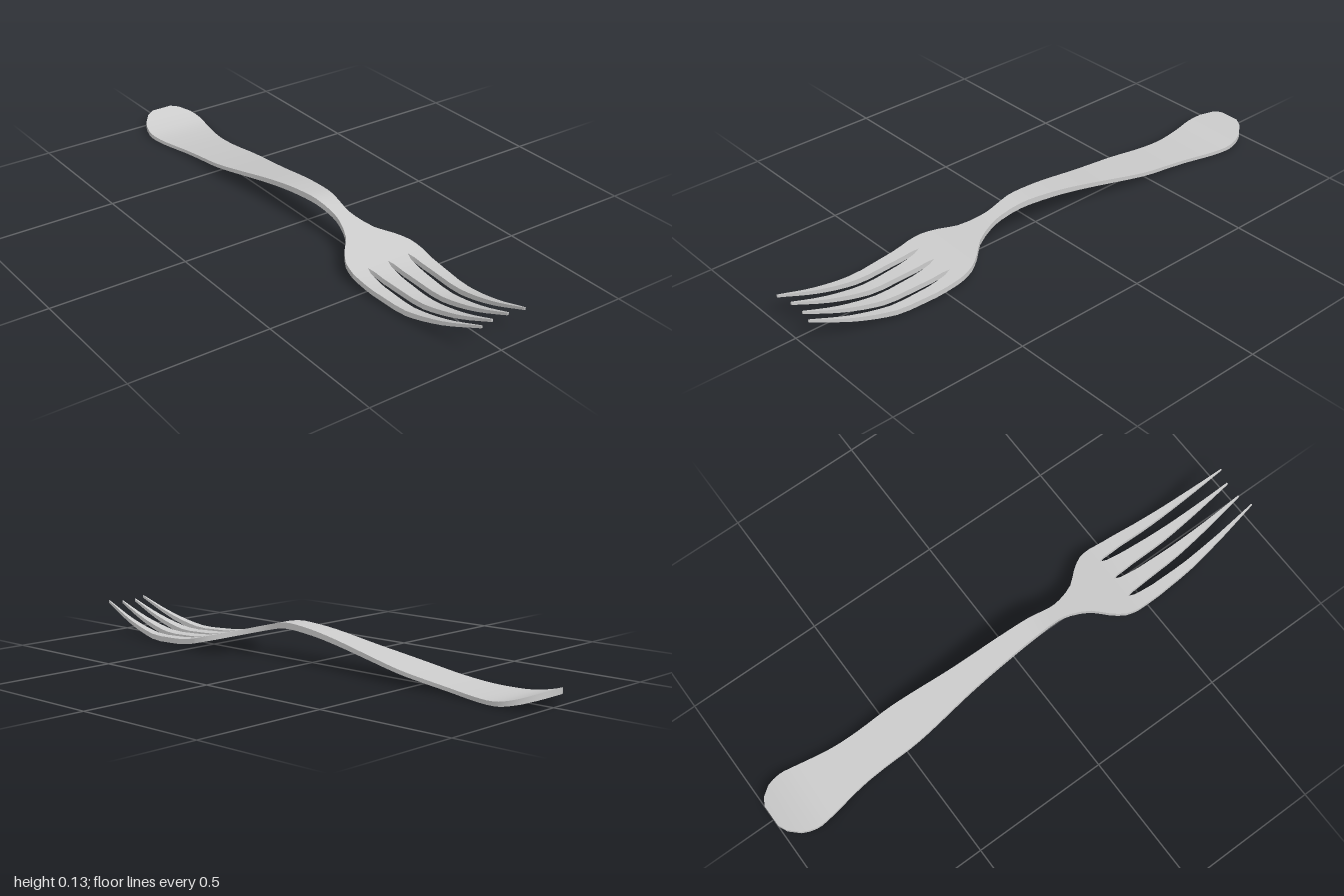
import * as THREE from 'three';
import { toCreasedNormals } from 'three/addons/utils/BufferGeometryUtils.js';

// Profiles along the length: [x, value]
const TOP = [[-1, 0.056], [-0.95, 0.037], [-0.88, 0.019], [-0.82, 0.014], [-0.7, 0.02], [-0.5, 0.045],
  [-0.3, 0.08], [-0.1, 0.117], [0, 0.13], [0.1, 0.134], [0.2, 0.112], [0.3, 0.086], [0.4, 0.06],
  [0.5, 0.038], [0.6, 0.031], [0.7, 0.031], [0.85, 0.065], [1, 0.12]];
const THICK = [[-1, 0.021], [-0.82, 0.014], [-0.4, 0.015], [0.05, 0.022], [0.2, 0.02], [0.5, 0.019], [0.7, 0.019], [1, 0.009]];
const WIDTH = [[-1, 0.04], [-0.985, 0.07], [-0.95, 0.1], [-0.9, 0.115], [-0.86, 0.113], [-0.7, 0.086],
  [-0.6, 0.08], [-0.45, 0.079], [-0.2, 0.053], [0, 0.04], [0.1, 0.034], [0.18, 0.027], [0.23, 0.033],
  [0.3, 0.06], [0.35, 0.103], [0.4, 0.134], [0.45, 0.143]];

// Smooth interpolation through a profile
function at(table, x) {
  let i = 0;
  while (i < table.length - 2 && x > table[i + 1][0]) i++;
  const slope = k => {
    const a = table[Math.max(k - 1, 0)], b = table[Math.min(k + 1, table.length - 1)];
    return (b[1] - a[1]) / (b[0] - a[0]);
  };
  const [x0, v0] = table[i], [x1, v1] = table[i + 1];
  const h = x1 - x0, t = (x - x0) / h, t2 = t * t, t3 = t2 * t;
  return v0 * (2 * t3 - 3 * t2 + 1) + v1 * (3 * t2 - 2 * t3)
    + h * (slope(i) * (t3 - 2 * t2 + t) + slope(i + 1) * (t3 - t2));
}

// Bent bar of rectangular section; each station is [x, zBack, zFront]
function bentBar(stations) {
  const pos = [], idx = [];
  stations.forEach(([x, z0, z1], i) => {
    const top = at(TOP, x), low = top - at(THICK, x);
    pos.push(x, top, z0, x, top, z1, x, low, z1, x, low, z0);
    if (i === 0) return;
    const a = (i - 1) * 4, b = i * 4;
    for (let k = 0; k < 4; k++) {
      const n = (k + 1) % 4;
      idx.push(a + k, a + n, b + k, a + n, b + n, b + k);
    }
  });
  const e = (stations.length - 1) * 4;
  idx.push(0, 3, 2, 0, 2, 1, e, e + 1, e + 2, e, e + 2, e + 3);
  const g = new THREE.BufferGeometry();
  g.setAttribute('position', new THREE.Float32BufferAttribute(pos, 3));
  g.setIndex(idx);
  return toCreasedNormals(g, 0.6);
}

export function createModel() {
  const group = new THREE.Group();
  const material = new THREE.MeshStandardMaterial({ color: 0xcccccc });
  const add = (name, stations) => {
    const mesh = new THREE.Mesh(bentBar(stations), material);
    mesh.name = name;
    group.add(mesh);
  };

  // Handle, neck and shoulder: subdivide between the width stations
  const body = [];
  for (let i = 0; i < WIDTH.length - 1; i++) {
    const x0 = WIDTH[i][0], x1 = WIDTH[i + 1][0];
    const n = Math.ceil((x1 - x0) / 0.04);
    for (let k = 0; k < n; k++) {
      const x = x0 + (x1 - x0) * k / n, w = at(WIDTH, x);
      body.push([x, -w, w]);
    }
  }
  body.push([0.45, -0.143, 0.143]);
  add('handleAndShoulder', body);

  // Tines: edges [x, inner z, outer z], mirrored to the other side
  const lerpAll = rows => {
    const out = [];
    for (let i = 0; i < rows.length - 1; i++) {
      const n = Math.ceil((rows[i + 1][0] - rows[i][0]) / 0.05);
      for (let k = 0; k < n; k++) out.push(rows[i].map((v, c) => v + (rows[i + 1][c] - v) * k / n));
    }
    return [...out, rows[rows.length - 1]];
  };
  const outer = lerpAll([[0.45, 0.082, 0.143], [0.475, 0.09, 0.142], [0.55, 0.095, 0.139],
    [0.7, 0.094, 0.127], [0.85, 0.09, 0.109], [1, 0.084, 0.088]]);
  const inner = lerpAll([[0.45, 0, 0.082], [0.475, 0.008, 0.074], [0.55, 0.014, 0.067],
    [0.7, 0.018, 0.058], [0.85, 0.024, 0.046], [0.985, 0.029, 0.034]]);
  for (const [name, rows] of [['outerTine', outer], ['innerTine', inner]]) {
    add(name + 'Front', rows);
    add(name + 'Back', rows.map(([x, a, b]) => [x, -b, -a]));
  }
  return group;
}
